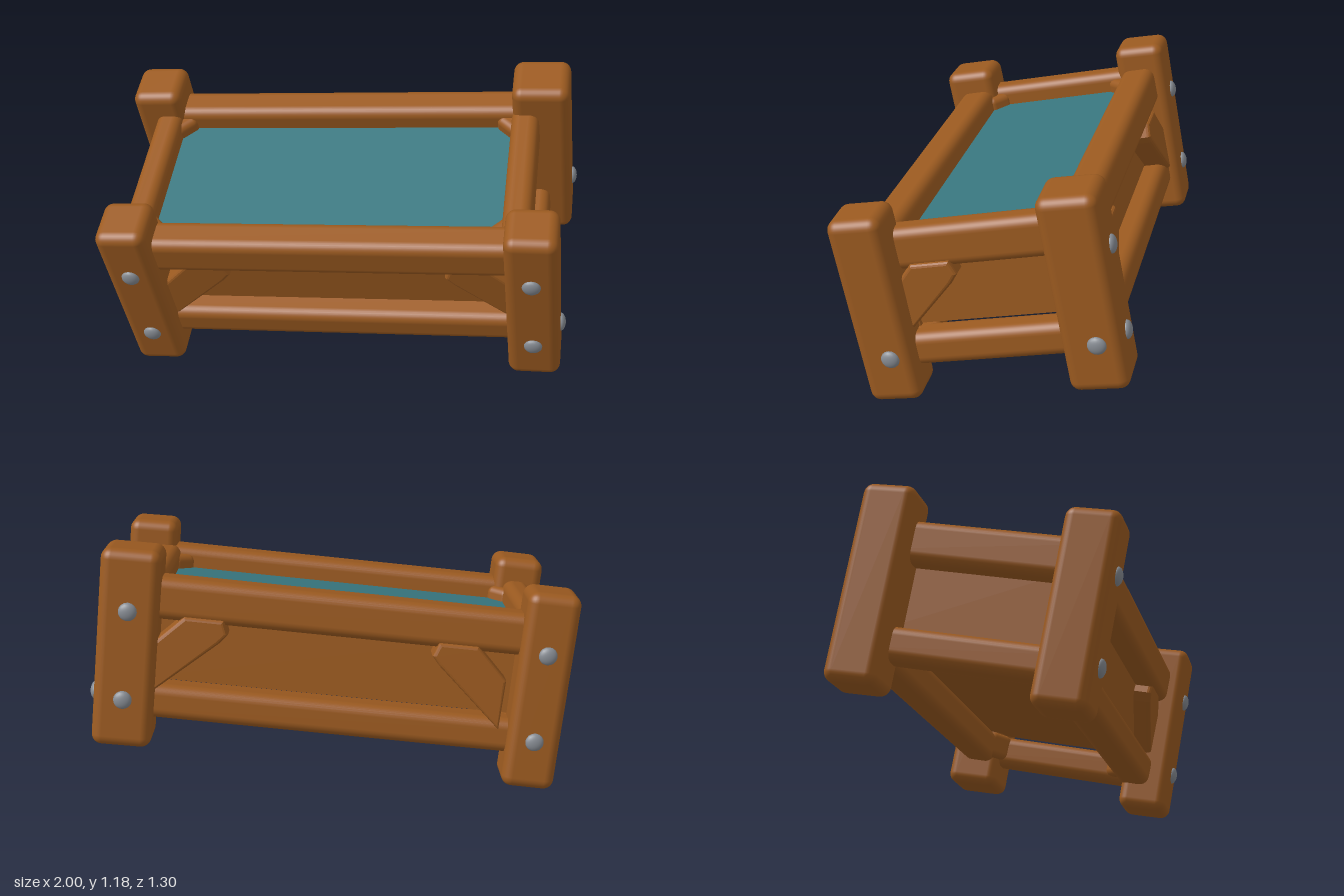
import * as THREE from 'three';
import { RoundedBoxGeometry } from 'three/addons/geometries/RoundedBoxGeometry.js';

export function createModel() {
  const material = (name, hex) => {
    const m = new THREE.MeshStandardMaterial({ color: hex });
    m.name = name;
    return m;
  };
  const wood = material('wood', 0x9b5a20);
  const water = material('water', 0x38777f);
  const iron = material('iron', 0x868b92);

  const trough = new THREE.Group();
  trough.name = 'trough';

  const add = (name, geometry, mat, x, y, z, parent = trough) => {
    const mesh = new THREE.Mesh(geometry, mat);
    mesh.name = name;
    mesh.position.set(x, y, z);
    parent.add(mesh);
    return mesh;
  };
  const beam = (name, w, h, d, x, y, z, r = 0.042, parent = trough) =>
    add(name, new RoundedBoxGeometry(w, h, d, 4, r), wood, x, y, z, parent);

  // Low domed bolt, axis turned to face outward
  const boltGeometry = new THREE.SphereGeometry(0.037, 16, 8, 0, Math.PI * 2, 0, Math.PI / 2);
  boltGeometry.scale(1, 0.55, 1);
  const bolt = (x, y, z, direction, parent) => {
    add('bolt', boltGeometry, iron, x, y, z, parent)
      .quaternion.setFromUnitVectors(new THREE.Vector3(0, 1, 0), direction);
  };

  // Corner posts, slightly crooked: x, y, z, width, height, depth, lean about x, lean about z
  const posts = [
    ['frontRightPost', -0.795, -0.003, 0.408, 0.21, 0.78, 0.222, -0.012, 0.015],
    ['frontLeftPost', 0.82, -0.003, 0.424, 0.21, 0.785, 0.215, -0.025, -0.025],
    ['backRightPost', -0.829, -0.01, -0.395, 0.212, 0.805, 0.218, -0.025, 0.01],
    ['backLeftPost', 0.82, 0, -0.4, 0.238, 0.8, 0.232, -0.025, -0.015],
  ];
  for (const [name, x, y, z, w, h, d, leanX, leanZ] of posts) {
    const post = new THREE.Group();
    post.name = name;
    post.position.set(x, y, z);
    post.rotation.set(leanX, 0, leanZ);
    trough.add(post);
    beam('postTimber', w, h, d, 0, 0, 0, 0.042, post);
    // Two bolts on the long side, one on the left end
    const s = Math.sign(z);
    for (const by of [0.158, -0.2]) {
      bolt(0, by, s * d / 2, new THREE.Vector3(0, 0, s), post);
    }
    if (x > 0) bolt(w / 2, -0.195, -0.022, new THREE.Vector3(1, 0, 0), post);
  }

  // Recessed body, its floor raised well above the lower rails' undersides
  add('body', new THREE.BoxGeometry(1.51, 0.33, 0.72), wood, 0, 0.025, 0);

  // Water surface
  add('waterSurface', new THREE.BoxGeometry(1.47, 0.008, 0.66), water, -0.015, 0.195, 0);

  // Upper and lower rails on all four sides
  for (const s of [-1, 1]) {
    beam('upperLongRail', 1.6, 0.17, 0.15, 0, 0.205, s * 0.385);
    beam('lowerLongRail', 1.6, 0.14, 0.15, 0, -0.217, s * 0.375);
  }
  for (const [upperX, lowerX] of [[-0.793, -0.79], [0.758, 0.783]]) {
    beam('upperEndRail', 0.115, 0.175, 0.8, upperX, 0.2, 0);
    beam('lowerEndRail', 0.125, 0.14, 0.8, lowerX, -0.217, 0);
    // Chamfer blocks in the inner corners, above the water and under the floor
    const s = Math.sign(upperX);
    for (const t of [-1, 1]) {
      for (const [x, y] of [[upperX - s * 0.045, 0.195], [lowerX - s * 0.05, -0.205]]) {
        beam('cornerBlock', 0.12, 0.12, 0.12, x, y, t * 0.315, 0.03)
          .rotation.y = Math.PI / 4;
      }
    }
  }

  // Diagonal braces between post and upper rail
  const braceShape = new THREE.Shape([
    [0, -0.17], [0.25, 0.06], [0.275, 0.09], [0.26, 0.13], [0.12, 0.13], [0, 0.01],
  ].map(([x, y]) => new THREE.Vector2(x, y)));
  const braceGeometry = new THREE.ExtrudeGeometry(braceShape, {
    depth: 0.09, bevelEnabled: true, bevelSize: 0.014, bevelThickness: 0.018, bevelSegments: 3,
  });
  braceGeometry.translate(0, 0, -0.045);
  const braces = [
    [-0.7, 0.375, 0], [0.765, 0.375, Math.PI],
    [-0.675, -0.405, 0], [0.72, -0.405, Math.PI],
    [0.768, 0.385, Math.PI / 2],
  ];
  for (const [x, z, turn] of braces) {
    add('brace', braceGeometry, wood, x, 0, z).rotation.y = turn;
  }

  // Tilt the whole trough
  const right = new THREE.Vector3(0.991, 0.105, -0.077).normalize();
  const front = new THREE.Vector3(0.1, -0.233, 0.967);
  const up = front.clone().cross(right).normalize();
  front.crossVectors(right, up);
  trough.quaternion.setFromRotationMatrix(new THREE.Matrix4().makeBasis(right, up, front));
  trough.position.set(0.012, 0.58, 0);

  const model = new THREE.Group();
  model.name = 'tiltedWaterTrough';
  model.add(trough);
  return model;
}
